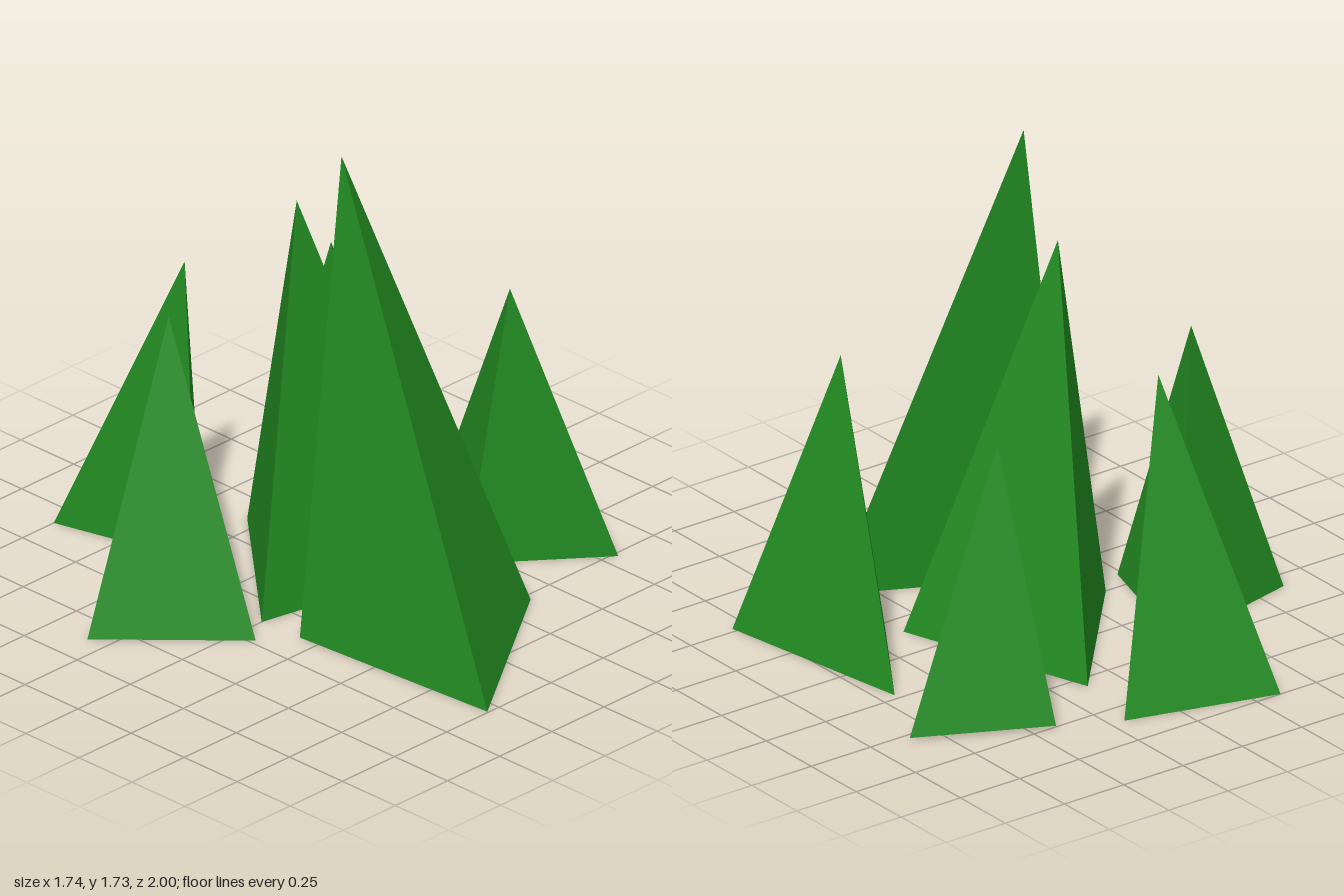
import * as THREE from 'three';

// Each tree: three base corners [x, z] (clockwise from above), leaning tip [x, y, z], ground height
const TREES = [
  { name: 'frontTree', base: [[-0.36, 0.17], [0.38, 0.53], [-0.30, 0.995]], tip: [-0.13, 1.73, 0.14], y: 0 },
  { name: 'centreTree', base: [[-0.37, 0], [0.13, -0.56], [0.365, 0.155]], tip: [-0.07, 1.44, -0.13], y: 0 },
  { name: 'leftTree', base: [[0.41, 0.195], [0.69, -0.225], [0.81, 0.52]], tip: [0.535, 1.03, 0.28], y: 0 },
  { name: 'backLeftTree', base: [[0.415, -0.76], [0.865, -0.54], [0.45, -0.265]], tip: [0.45, 0.96, -0.48], y: 0.01 },
  { name: 'backTree', base: [[-0.35, -1], [0.195, -0.85], [-0.21, -0.46]], tip: [-0.16, 1.08, -0.57], y: 0 },
  { name: 'rightTree', base: [[-0.87, -0.33], [-0.32, -0.46], [-0.48, 0.08]], tip: [-0.48, 1.08, -0.33], y: 0 },
];

// Closed three-sided pyramid with its own tip position
function treeGeometry({ base, tip, y }) {
  const corners = base.map(([x, z]) => [x, y, z]);
  const points = [...corners];
  for (let i = 0; i < 3; i++) points.push(corners[(i + 1) % 3], corners[i], tip);
  const geometry = new THREE.BufferGeometry();
  geometry.setAttribute('position', new THREE.Float32BufferAttribute(points.flat(), 3));
  geometry.computeVertexNormals();
  return geometry;
}

export function createModel() {
  const group = new THREE.Group();
  group.name = 'treeCluster';
  const green = new THREE.MeshStandardMaterial({ color: 0x228b22, flatShading: true });
  for (const tree of TREES) {
    const mesh = new THREE.Mesh(treeGeometry(tree), green);
    mesh.name = tree.name;
    group.add(mesh);
  }
  return group;
}
